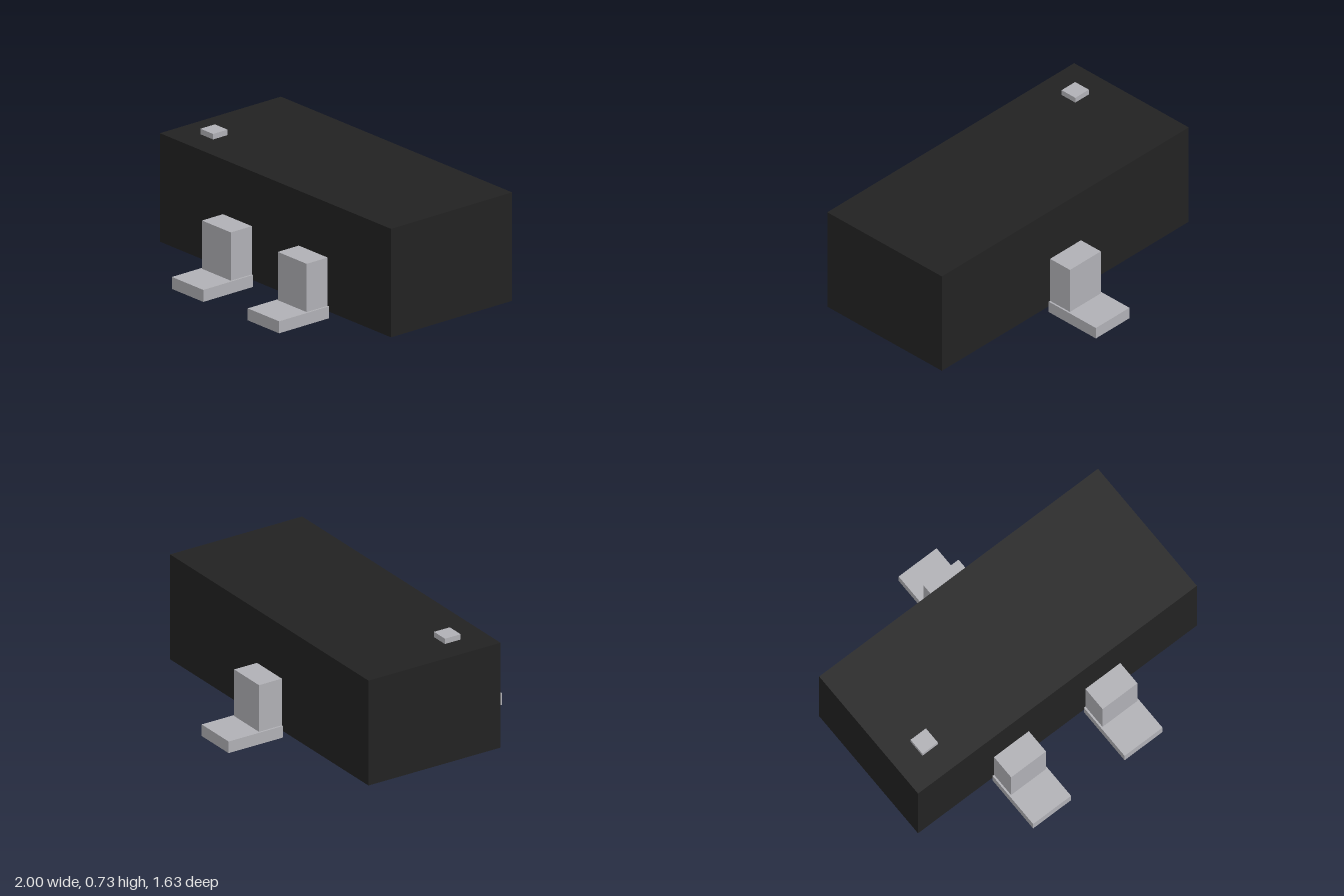
import * as THREE from 'three';

export function createModel() {
  const model = new THREE.Group();
  model.name = 'transistorPackage';

  const black = new THREE.MeshStandardMaterial({ color: 0x222222 });
  black.name = 'black plastic';
  const silver = new THREE.MeshStandardMaterial({ color: 0xb0b0b5 });
  silver.name = 'silver metal';

  // Box given by its lower and upper corners
  function addBox(parent, name, material, min, max) {
    const size = max.map((v, i) => v - min[i]);
    const mesh = new THREE.Mesh(new THREE.BoxGeometry(...size), material);
    mesh.position.set(...max.map((v, i) => (v + min[i]) / 2));
    mesh.name = name;
    parent.add(mesh);
  }

  // Body and corner marker
  const bottom = 0.04, top = 0.692, depth = 0.447;
  addBox(model, 'body', black, [-1, bottom, -depth], [1, top, depth]);
  addBox(model, 'cornerMarker', silver, [-0.84, top, 0.178], [-0.73, 0.725, 0.285]);

  // Stepped lead: upright block on a flat foot, pointing to +z
  function addLead(name, x, turn) {
    const lead = new THREE.Group();
    lead.name = name;
    addBox(lead, 'foot', silver, [-0.136, 0, depth], [0.136, 0.072, 0.815]);
    addBox(lead, 'upright', silver, [-0.125, 0.072, depth], [0.125, 0.362, 0.602]);
    lead.position.x = x;
    lead.rotation.y = turn;
    model.add(lead);
  }
  addLead('frontRightLead', -0.33, 0);
  addLead('frontLeftLead', 0.326, 0);
  addLead('backLead', -0.002, Math.PI);

  return model;
}
